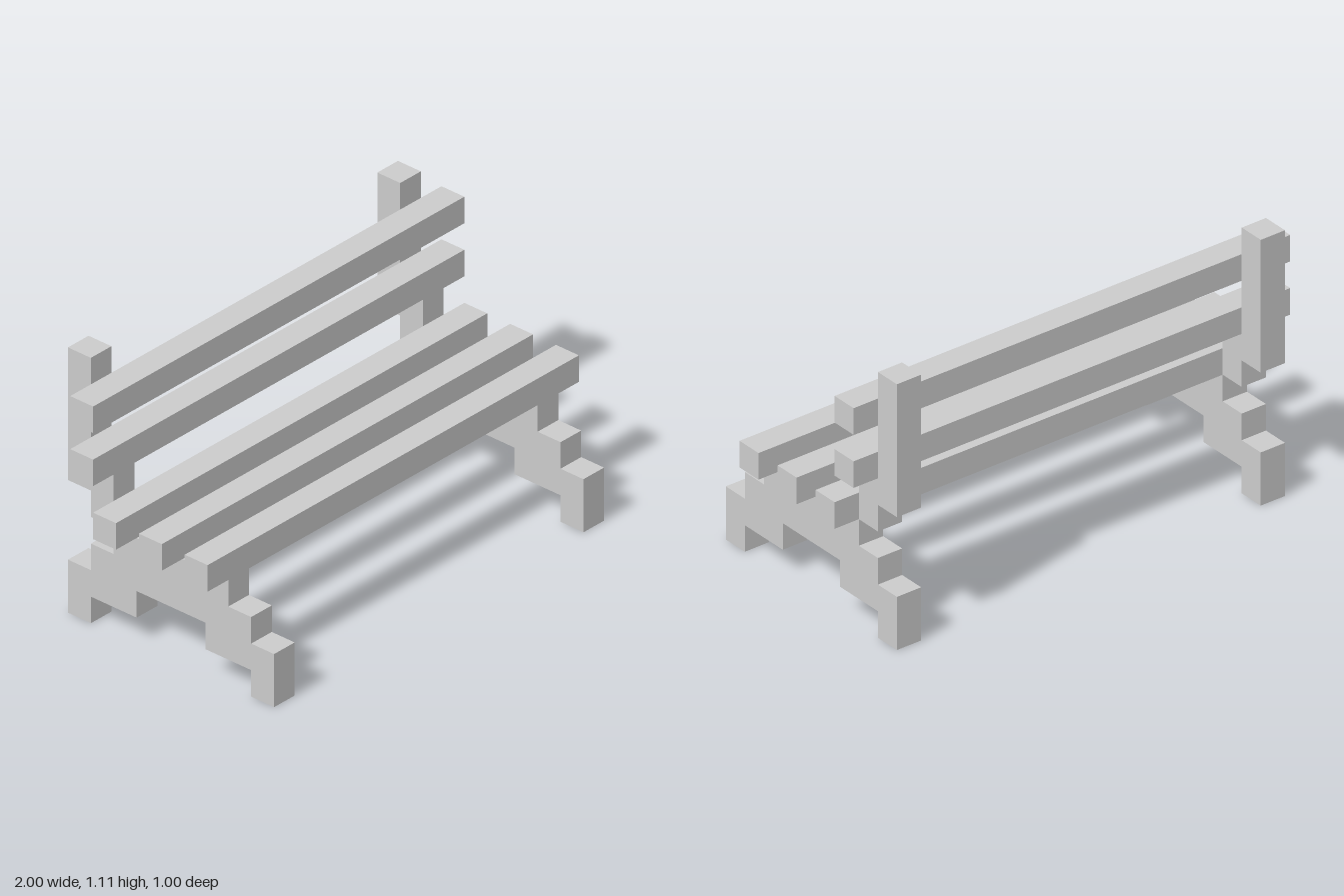
import * as THREE from 'three';

const U = 1 / 9; // every part sits on a grid of this step

export function createModel() {
  const bench = new THREE.Group();
  bench.name = 'bench';
  const material = new THREE.MeshStandardMaterial({ color: 0xcccccc, flatShading: true });

  const add = (parent, name, geometry, x, y, z) => {
    const mesh = new THREE.Mesh(geometry, material);
    mesh.name = name;
    mesh.position.set(x * U, y * U, z * U);
    parent.add(mesh);
  };
  // Box standing on y0, centred on x and z, in grid steps
  const box = (parent, name, w, h, x, y0, z) =>
    add(parent, name, new THREE.BoxGeometry(w * U, h * U, U), x, y0 + h / 2, z);

  // Stepped leg outline: front half as [z, y], mirrored for the back
  const half = [[1.5, 2], [1.5, 1], [3.5, 1], [3.5, 0], [4.5, 0],
    [4.5, 2], [3.5, 2], [3.5, 3], [2.5, 3], [2.5, 4]];
  const outline = [...half, ...half.map(([z, y]) => [-z, y]).reverse()];
  const shape = new THREE.Shape(outline.map(([z, y]) => new THREE.Vector2(z * U, y * U)));
  const legGeometry = new THREE.ExtrudeGeometry(shape, { depth: U, bevelEnabled: false })
    .translate(0, 0, -U / 2)
    .rotateY(-Math.PI / 2);

  // Side frames: legs, bracket and back post
  for (const side of [-1, 1]) {
    const frame = new THREE.Group();
    frame.name = side > 0 ? 'leftFrame' : 'rightFrame';
    const x = side * 7.5;
    add(frame, 'legs', legGeometry, x, 0, 0);
    box(frame, 'backBracket', 1, 2, x, 4, -3);
    box(frame, 'backPost', 1, 5, x, 5, -4);
    bench.add(frame);
  }

  // Seat and backrest slats
  for (const z of [-2, 0, 2]) box(bench, 'seatSlat', 18, 1, 0, 4, z);
  for (const y of [6, 8]) box(bench, 'backSlat', 18, 1, 0, y, -3);

  return bench;
}
